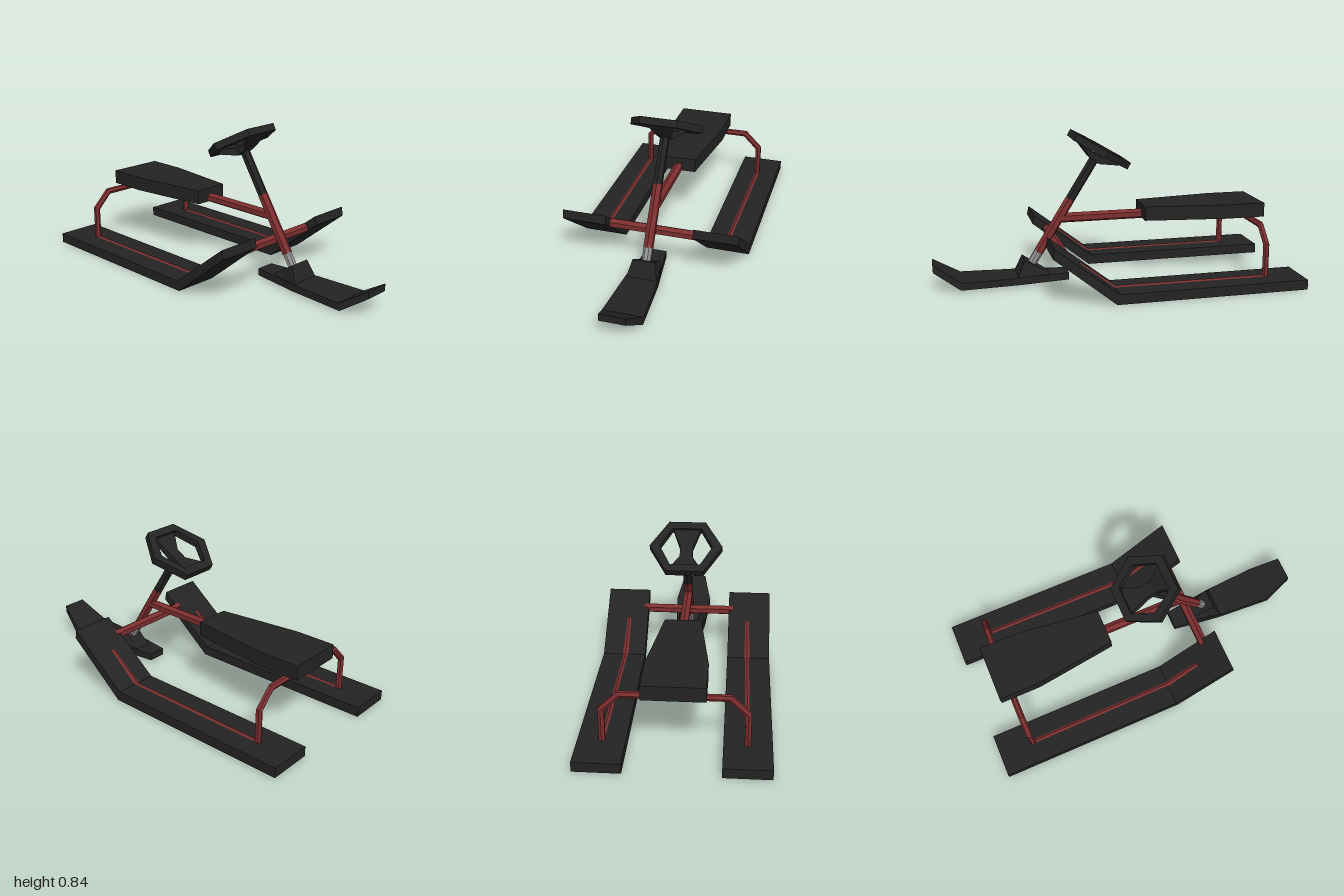
import * as THREE from 'three';

const V = (x, y, z) => new THREE.Vector3(x, y, z);

// Closed solid through matching rings, each counter-clockwise about the travel direction
function loft(rings) {
  const pos = [];
  const tri = (...pts) => pts.forEach((p) => pos.push(p.x, p.y, p.z));
  const n = rings[0].length;
  for (let i = 0; i < rings.length - 1; i++) {
    for (let j = 0; j < n; j++) {
      const k = (j + 1) % n;
      const a = rings[i][j], b = rings[i][k], c = rings[i + 1][k], d = rings[i + 1][j];
      tri(a, b, c);
      tri(a, c, d);
    }
  }
  const first = rings[0], last = rings[rings.length - 1];
  for (let j = 1; j < n - 1; j++) {
    tri(first[0], first[j + 1], first[j]);
    tri(last[0], last[j], last[j + 1]);
  }
  const g = new THREE.BufferGeometry();
  g.setAttribute('position', new THREE.Float32BufferAttribute(pos, 3));
  g.computeVertexNormals();
  return g;
}

// Four-sided section facing +z: bottom half width, top half width, bottom, top
const section = (wb, wt, yb, yt, zb, zt = zb) =>
  [V(wb, yb, zb), V(wt, yt, zt), V(-wt, yt, zt), V(-wb, yb, zb)];

// Faceted bar along a path with mitred corners
function bar(path, r, sides = 6) {
  const dirs = path.slice(1).map((p, i) => p.clone().sub(path[i]).normalize());
  const ref = Math.abs(dirs[0].x) > 0.9 ? V(0, 0, 1) : V(1, 0, 0);
  const v = dirs[0].clone().cross(ref).normalize();
  const u = v.clone().cross(dirs[0]);
  let ring = [];
  for (let j = 0; j < sides; j++) {
    const a = ((j + 0.5) / sides) * Math.PI * 2;
    ring.push(path[0].clone().addScaledVector(u, r * Math.cos(a)).addScaledVector(v, r * Math.sin(a)));
  }
  const rings = [ring];
  for (let i = 1; i < path.length; i++) {
    const d = dirs[i - 1];
    const normal = d.clone().add(dirs[i] || d).normalize();
    ring = ring.map((p) => {
      const t = path[i].clone().sub(p).dot(normal) / d.dot(normal);
      return p.clone().addScaledVector(d, t);
    });
    rings.push(ring);
  }
  return loft(rings);
}

export function createModel() {
  const group = new THREE.Group();
  const material = (name, color) => {
    const m = new THREE.MeshStandardMaterial({ color });
    m.name = name;
    return m;
  };
  const black = material('black plastic', 0x232323);
  const red = material('red metal', 0x7d2e2e);
  const silver = material('bare steel', 0x909090);

  const add = (name, geometry, mat, parent = group) => {
    const mesh = new THREE.Mesh(geometry, mat);
    mesh.name = name;
    parent.add(mesh);
    return mesh;
  };

  // Rear skis with upturned fronts
  const skiGeometry = loft([
    section(0.123, 0.123, 0, 0.055, -1),
    section(0.123, 0.123, 0, 0.055, 0.075, 0.06),
    section(0.123, 0.123, 0.27, 0.32, 0.41, 0.4),
  ]);
  for (const side of [1, -1]) {
    add(side > 0 ? 'leftSki' : 'rightSki', skiGeometry, black).position.x = side * 0.367;
  }

  // Steering ski, tapered in plan and raised at the tip
  add('frontSki', loft([
    section(0.053, 0.053, 0.012, 0.052, 0.25),
    section(0.09, 0.09, 0.012, 0.052, 0.53),
    section(0.11, 0.11, 0.012, 0.052, 0.855, 0.845),
    section(0.07, 0.07, 0.11, 0.15, 1),
  ]), black);
  add('frontSkiMount', loft([
    section(0.062, 0.045, 0.04, 0.052, 0.36),
    section(0.07, 0.042, 0.04, 0.08, 0.4),
    section(0.085, 0.06, 0.04, 0.143, 0.5),
    section(0.088, 0.085, 0.04, 0.052, 0.54),
  ]), black);

  // One bent tube: runner, post, arch under the seat, post, runner
  const half = [
    V(0.357, 0.192, 0.255), V(0.36, 0.044, 0.06), V(0.365, 0.044, -0.8),
    V(0.365, 0.235, -0.8), V(0.275, 0.325, -0.8),
  ];
  const mirrored = half.map((p) => V(-p.x, p.y, p.z)).reverse();
  add('rearFrame', bar([...half, ...mirrored], 0.018), red);

  // Spine and front crossbar
  add('spine', bar([V(0, 0.36, 0.29), V(0, 0.36, -0.8)], 0.028), red);
  add('crossbar', bar([V(-0.27, 0.235, 0.325), V(0.27, 0.235, 0.325)], 0.028), red);

  // Seat, narrowing towards the front
  add('seat', loft([
    section(0.16, 0.16, 0.34, 0.42, -0.87),
    section(0.16, 0.16, 0.34, 0.42, -0.64),
    section(0.1, 0.1, 0.34, 0.42, -0.18),
  ]), black);

  // Steering column in three lengths
  const stem = (y) => V(0, y, 0.413 - 0.622 * (y - 0.17));
  add('columnFoot', bar([stem(0.09), stem(0.18)], 0.026, 8), silver);
  add('columnSleeve', bar([stem(0.17), stem(0.465)], 0.028), red);
  add('columnTop', bar([stem(0.465), stem(0.7)], 0.027), black);

  // Six-sided steering wheel, tilted towards the rider
  const wheel = new THREE.Group();
  wheel.name = 'steeringWheel';
  wheel.position.set(0, 0.742, 0.065);
  wheel.rotation.x = -0.518;
  group.add(wheel);
  const hexagon = (x, cx, cy) => [[x, 0], [cx, cy], [-cx, cy], [-x, 0], [-cx, -cy], [cx, -cy]]
    .map(([a, b]) => new THREE.Vector2(a, b));
  const rim = new THREE.Shape(hexagon(0.203, 0.103, 0.172));
  rim.holes.push(new THREE.Path(hexagon(0.147, 0.083, 0.125)));
  const rimGeometry = new THREE.ExtrudeGeometry(rim, { depth: 0.04, bevelEnabled: false });
  rimGeometry.rotateX(Math.PI / 2).translate(0, 0.02, 0);
  add('wheelRim', rimGeometry, black, wheel);

  // Dished spoke running down to the hub
  add('wheelSpoke', loft([
    section(0.08, 0.08, -0.021, 0.012, -0.135),
    section(0.036, 0.036, -0.072, -0.03, -0.033),
    section(0.036, 0.036, -0.064, -0.03, 0.033),
    section(0.08, 0.08, -0.016, 0.012, 0.135),
  ]), black, wheel);

  return group;
}
